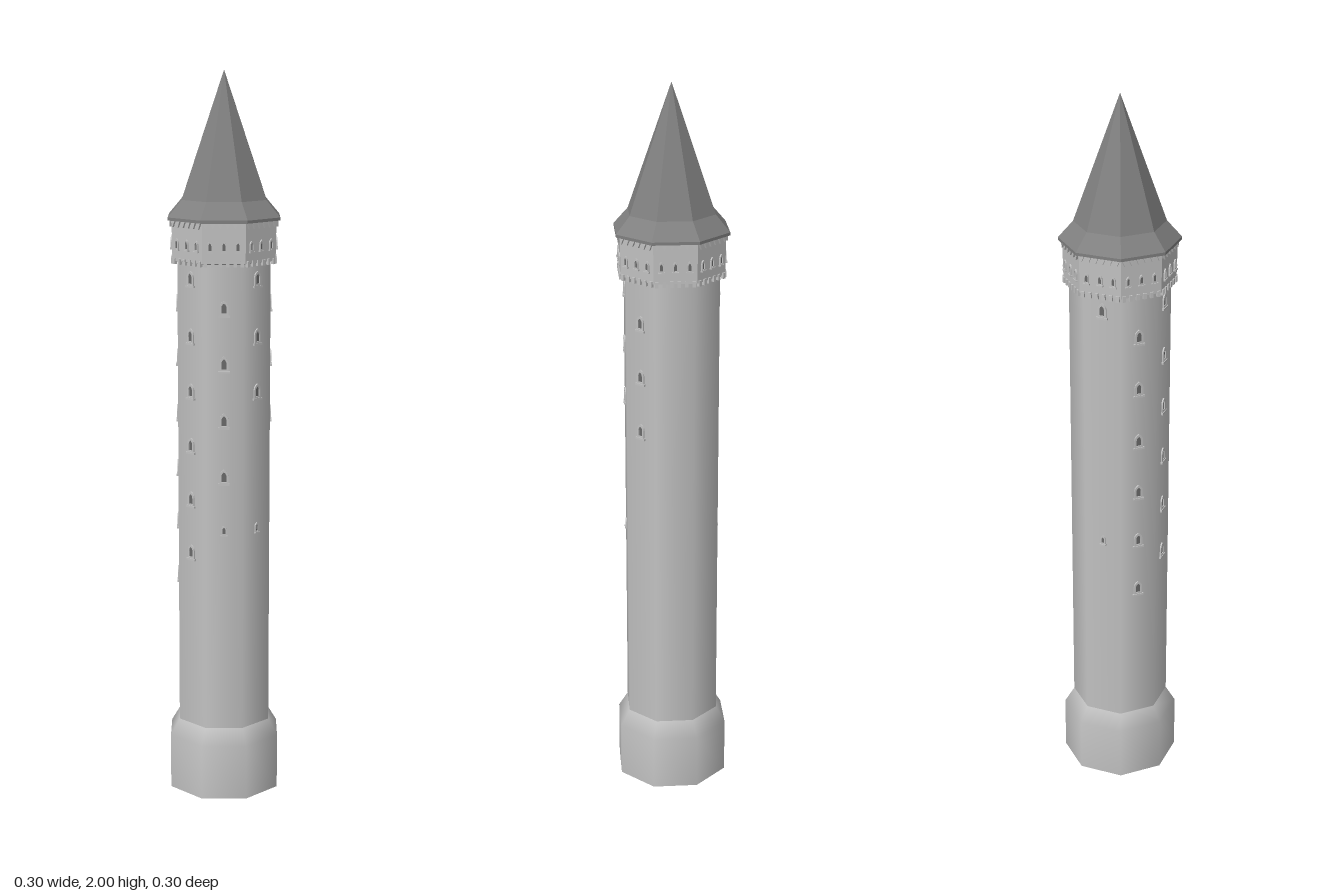
import * as THREE from 'three';

const SIDES = 8;
const K = Math.cos(Math.PI / SIDES); // apothem / corner radius

export function createModel() {
  const tower = new THREE.Group();
  tower.name = 'tower';

  const stone = new THREE.MeshStandardMaterial({ color: 0xc2c2c2, side: THREE.DoubleSide });
  stone.name = 'pale stone';
  const slate = new THREE.MeshStandardMaterial({ color: 0x808080 });
  slate.name = 'roof slate';
  const dark = new THREE.MeshStandardMaterial({ color: 0x6a6a6a });
  dark.name = 'window dark';

  // Octagonal body turned from [apothem, height] points, flats facing the axes
  function octagon(name, profile, material, flat) {
    const points = profile.map(([a, y]) => new THREE.Vector2(a / K, y));
    let geo = new THREE.LatheGeometry(points, SIDES, Math.PI / SIDES);
    if (flat) {
      geo = geo.toNonIndexed();
      geo.computeVertexNormals();
    }
    const mesh = new THREE.Mesh(geo, material);
    mesh.name = name;
    tower.add(mesh);
  }

  // Place a part on face k (0 = front, counting towards +x), shifted sideways by u
  function onFace(part, k, apothem, u, y) {
    const face = new THREE.Group();
    face.rotation.y = (k * Math.PI) / 4;
    part.position.set(u, y, apothem);
    face.name = part.name;
    face.add(part);
    tower.add(face);
  }

  // Hollow base and shaft, softly shaded
  octagon('base', [[0.15, 0], [0.15, 0.155], [0.125, 0.2]], stone, false);
  octagon('shaft', [[0.125, 0.2], [0.125, 1.5]], stone, false);

  // Overhanging gallery and flared spire
  octagon('gallery', [[0.12, 1.495], [0.138, 1.5], [0.14, 1.61]], stone, true);
  octagon('spire', [[0.12, 1.607], [0.15, 1.607], [0.15, 1.615], [0.113, 1.66], [0, 2]], slate, true);

  // Arched outline, w wide and h high, centred on the origin
  function arch(Type, w, h) {
    const s = new Type();
    s.moveTo(-w / 2, -h / 2);
    s.lineTo(w / 2, -h / 2);
    s.lineTo(w / 2, h * 0.1);
    s.quadraticCurveTo(w / 2, h * 0.35, 0, h / 2);
    s.quadraticCurveTo(-w / 2, h * 0.35, -w / 2, h * 0.1);
    return s;
  }

  // Window: raised stone surround, sill and a dark pane
  function windowMaker(w, h) {
    const surround = arch(THREE.Shape, w, h);
    surround.holes.push(arch(THREE.Path, w * 0.55, h * 0.65));
    const frameGeo = new THREE.ExtrudeGeometry(surround, { depth: 0.004, bevelEnabled: false, curveSegments: 3 });
    const paneGeo = new THREE.ShapeGeometry(arch(THREE.Shape, w * 0.6, h * 0.7), 3);
    const sillGeo = new THREE.BoxGeometry(w * 1.3, h * 0.14, 0.006);
    return () => {
      const group = new THREE.Group();
      group.name = 'window';
      const frame = new THREE.Mesh(frameGeo, stone);
      frame.name = 'windowFrame';
      const pane = new THREE.Mesh(paneGeo, dark);
      pane.name = 'windowPane';
      pane.position.z = 0.001;
      const sill = new THREE.Mesh(sillGeo, stone);
      sill.name = 'windowSill';
      sill.position.set(0, -h / 2, 0.003);
      group.add(frame, pane, sill);
      return group;
    };
  }
  const shaftWindow = windowMaker(0.024, 0.042);
  const smallWindow = windowMaker(0.014, 0.028);
  const galleryWindow = windowMaker(0.014, 0.03);

  // Shaft windows: heights per face
  const columns = {
    0: [1.455, 1.3, 1.15],
    1: [1.38, 1.23, 1.075],
    4: [1.455],
    5: [1.38, 1.23, 1.075, 0.92, 0.77, 0.615],
    6: [1.455, 1.3, 1.15, 1.0, 0.85, 0.7],
    7: [1.38, 1.23, 1.075, 0.92],
  };
  for (const k in columns) {
    for (const y of columns[k]) onFace(shaftWindow(), Number(k), 0.125, 0, y);
  }
  for (const k of [0, 4, 7]) onFace(smallWindow(), k, 0.125, 0, 0.77);

  // Gallery trim: windows, corbels below and pointed pendants under the eaves
  const corbelGeo = new THREE.BoxGeometry(0.009, 0.016, 0.008);
  const point = new THREE.Shape();
  point.moveTo(-0.008, 0);
  point.lineTo(0, -0.018);
  point.lineTo(0.008, 0);
  const pendantGeo = new THREE.ExtrudeGeometry(point, { depth: 0.006, bevelEnabled: false });
  for (let k = 0; k < SIDES; k++) {
    for (let i = -1; i <= 1; i++) onFace(galleryWindow(), k, 0.139, i * 0.037, 1.545);
    for (let i = 0; i < 6; i++) {
      const u = (i - 2.5) * 0.0195;
      const corbel = new THREE.Mesh(corbelGeo, stone);
      corbel.name = 'corbel';
      onFace(corbel, k, 0.138, u, 1.499);
      const pendant = new THREE.Mesh(pendantGeo, stone);
      pendant.name = 'eavesPendant';
      onFace(pendant, k, 0.139, u, 1.608);
    }
  }
  return tower;
}
